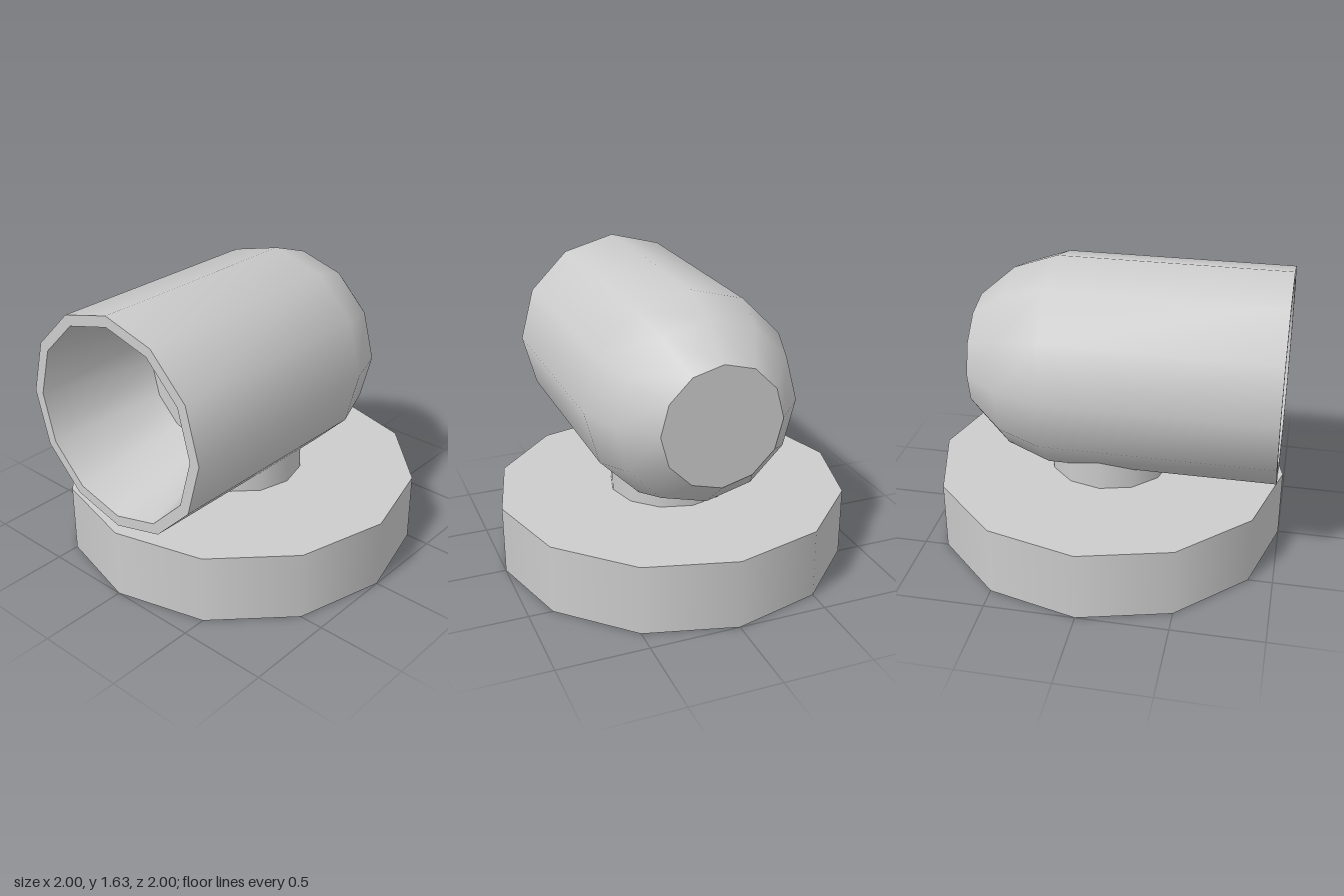
import * as THREE from 'three';
import { toCreasedNormals } from 'three/addons/utils/BufferGeometryUtils.js';

const SIDES = 12;
const material = new THREE.MeshStandardMaterial({ color: 0xcccccc });

function addPart(group, name, geometry) {
  const mesh = new THREE.Mesh(geometry, material);
  mesh.name = name;
  group.add(mesh);
  return mesh;
}

// Upright twelve-sided drum between two heights
function drum(radius, bottom, top) {
  return new THREE.CylinderGeometry(radius, radius, top - bottom, SIDES)
    .translate(0, (bottom + top) / 2, 0);
}

export function createModel() {
  const group = new THREE.Group();
  group.name = 'spotlight';

  // Foot and the short neck that carries the lamp
  addPart(group, 'base', drum(1, 0, 0.395));
  addPart(group, 'neck', drum(0.35, 0.395, 0.6));

  // Lamp housing: [radius, z] from the back cap, over the rim, into the tapered reflector
  const profile = [
    [0, -0.74], [0.34, -0.74], [0.515, -0.54], [0.6, -0.3], [0.6, 0.975],
    [0.54, 0.975], [0.375, 0.33], [0, 0.33],
  ].map(([r, z]) => new THREE.Vector2(r, z));
  const shell = new THREE.LatheGeometry(profile, SIDES).rotateX(Math.PI / 2);
  const housing = addPart(group, 'lampHousing', toCreasedNormals(shell, 0.78));
  housing.position.y = 1.03;

  return group;
}
